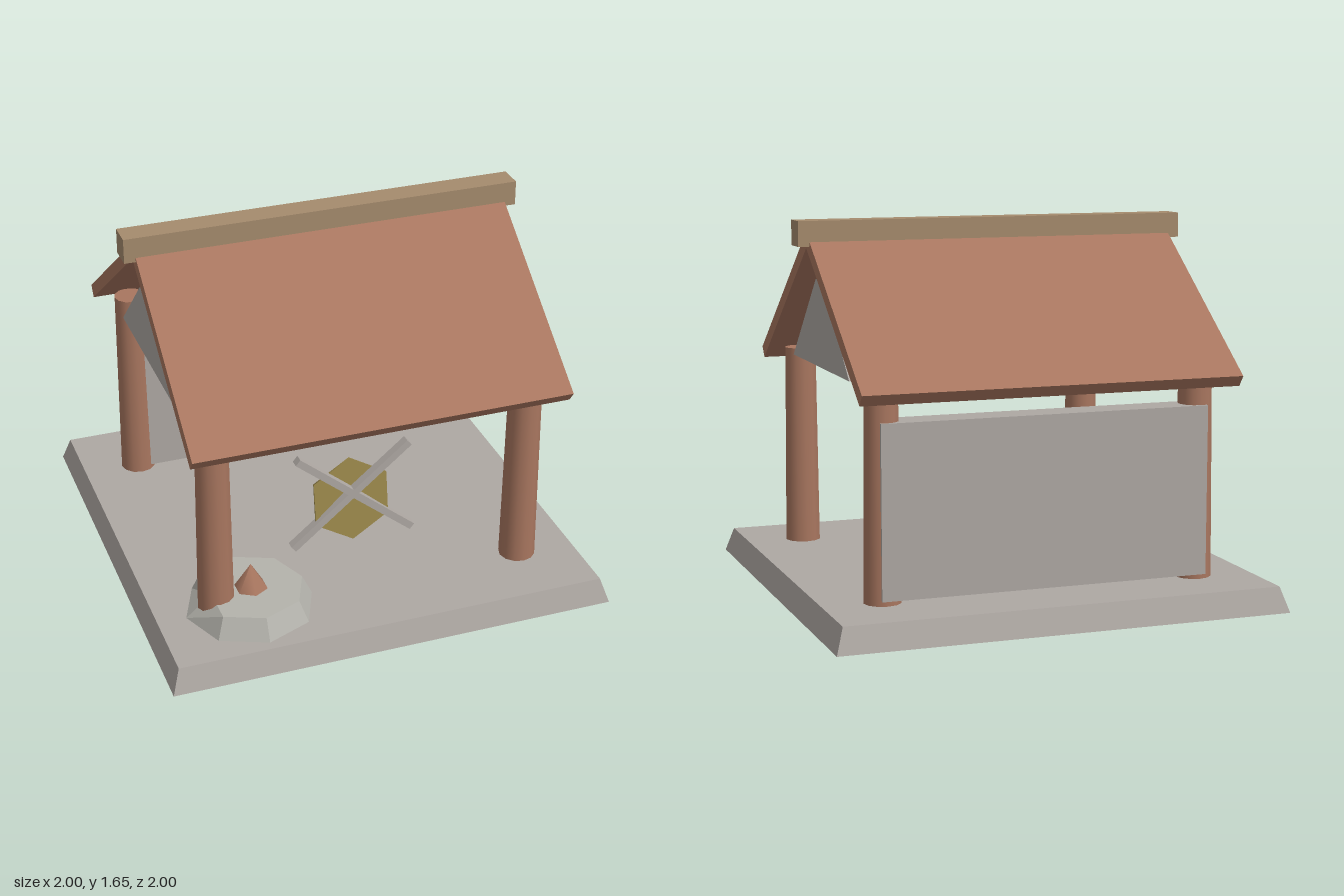
import * as THREE from 'three';

const mat = (name, color) => {
  const m = new THREE.MeshStandardMaterial({ color });
  m.name = name;
  return m;
};

export function createModel() {
  const group = new THREE.Group();
  const stone = mat('grey stone', 0xaea8a3);
  const wood = mat('red brown wood', 0xa8765f);
  const beam = mat('tan beam', 0xa58b6d);
  const gold = mat('dull gold', 0x98864a);
  const ash = mat('pale ash', 0xb4b3ac);
  for (const m of [stone, wood, beam, gold, ash]) m.flatShading = false;

  const add = (name, geometry, material, x = 0, y = 0, z = 0) => {
    const mesh = new THREE.Mesh(geometry, material);
    mesh.name = name;
    mesh.position.set(x, y, z);
    group.add(mesh);
    return mesh;
  };
  const box = (name, material, w, h, d, x, y, z) =>
    add(name, new THREE.BoxGeometry(w, h, d), material, x, y, z);

  // Prism running along x, from a [z, y] outline
  const prismX = (name, outline, x0, x1, material) => {
    const shape = new THREE.Shape(outline.map(([z, y]) => new THREE.Vector2(-z, y)));
    const geo = new THREE.ExtrudeGeometry(shape, { depth: x1 - x0, bevelEnabled: false });
    geo.rotateY(Math.PI / 2);
    return add(name, geo, material, x0);
  };

  // Base slab, slightly narrower at the top
  const slab = new THREE.BoxGeometry(2, 0.11, 2);
  const sp = slab.attributes.position;
  for (let i = 0; i < sp.count; i++) {
    if (sp.getY(i) > 0) sp.setXYZ(i, sp.getX(i) * 0.965, sp.getY(i), sp.getZ(i) * 0.965);
  }
  slab.computeVertexNormals();
  add('base', slab, stone, 0, 0.055, 0);

  // Four tapering pillars
  for (const x of [-0.705, 0.705]) {
    for (const z of [-0.645, 0.645]) {
      add('pillar', new THREE.CylinderGeometry(0.072, 0.081, 0.915, 12), wood, x, 0.5625, z);
    }
  }

  // Back wall
  box('backWall', stone, 1.46, 0.74, 0.145, 0, 0.5, -0.655);

  // Roof slopes and ridge beam
  for (const s of [-1, 1]) {
    prismX('roofSlope', [[0, 1.6], [s * 0.835, 1.005], [s * 0.8, 0.958], [0, 1.53]], -0.84, 0.84, wood);
  }
  box('ridgeBeam', beam, 1.78, 0.11, 0.115, 0, 1.595, 0);

  // Gable panels at both ends
  for (const x of [-0.785, 0.685]) {
    prismX('gable', [[-0.46, 1.01], [-0.055, 1.39], [0.055, 1.39], [0.46, 1.01]], x, x + 0.1, stone);
  }

  // Six-sided shield leaning back
  const plate = new THREE.CylinderGeometry(0.197, 0.197, 0.009, 6);
  plate.rotateX(Math.PI / 2);
  add('shield', plate, gold, 0, 0.395, 0.4).rotation.x = -0.15;

  // Crossed bars in front of the shield
  for (const s of [-1, 1]) {
    const bar = box('crossedBar', stone, 0.7, 0.033, 0.04, s * 0.011, 0.43, 0.417);
    bar.rotation.z = -s * 0.69;
  }

  // Low mound with one side falling away more gently
  const moundShape = new THREE.CylinderGeometry(0.24, 0.285, 0.095, 8).toNonIndexed();
  const mp = moundShape.attributes.position;
  for (let i = 0; i < mp.count; i++) {
    if (mp.getY(i) > 0 && mp.getX(i) < -0.2) mp.setX(i, -0.17);
  }
  moundShape.computeVertexNormals();
  add('mound', moundShape, ash, -0.553, 0.16, 0.64);

  // Small peak on the mound
  add('moundPeak', new THREE.ConeGeometry(0.075, 0.12, 6).toNonIndexed(), wood, -0.545, 0.265, 0.64);

  return group;
}
